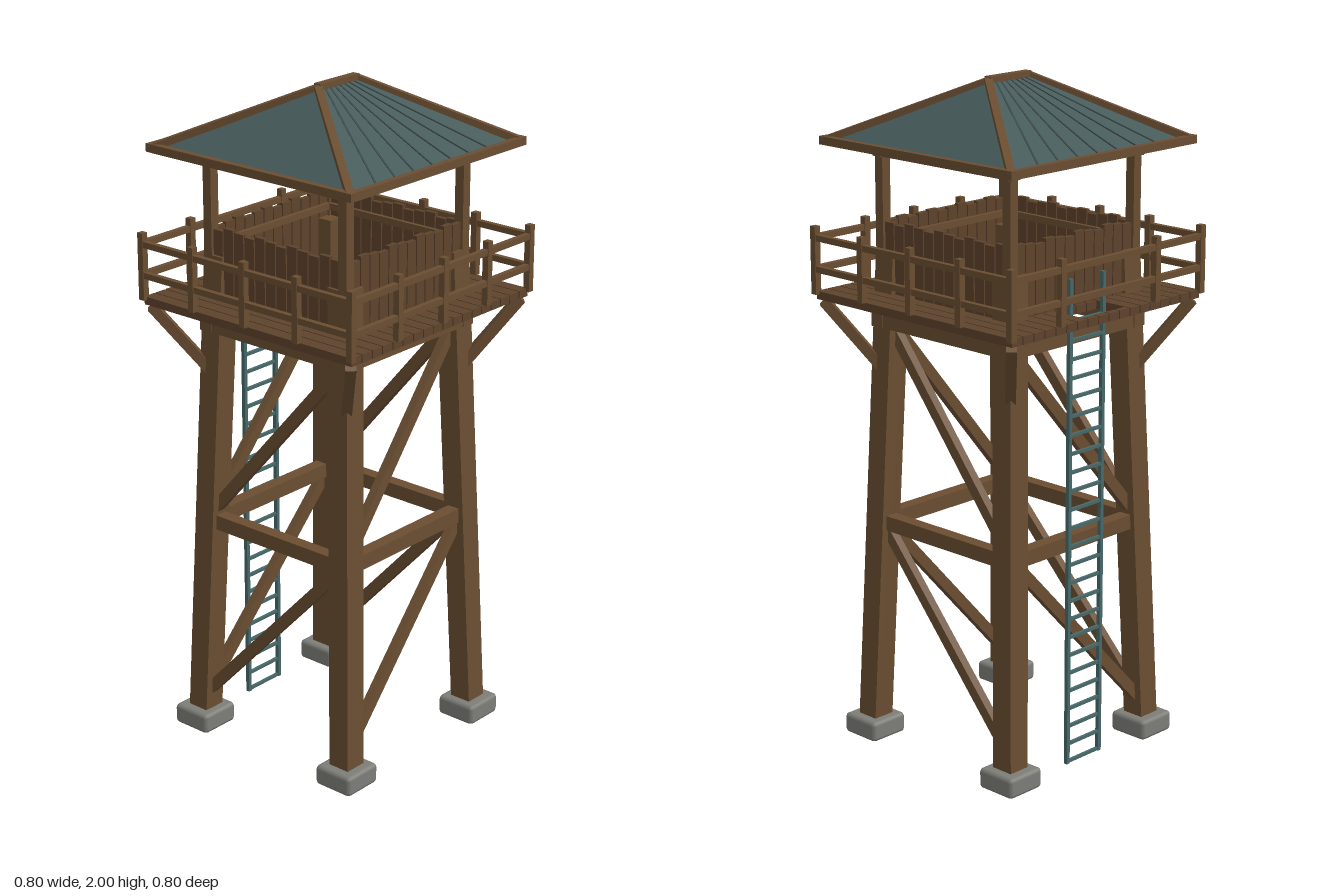
import * as THREE from 'three';
import { RoundedBoxGeometry } from 'three/addons/geometries/RoundedBoxGeometry.js';
import { ConvexGeometry } from 'three/addons/geometries/ConvexGeometry.js';

const V = (x, y, z) => new THREE.Vector3(x, y, z);
const material = (name, color) => {
  const m = new THREE.MeshStandardMaterial({ color });
  m.name = name;
  return m;
};

export function createModel() {
  const model = new THREE.Group();
  model.name = 'watchtower';
  const timber = material('timber', 0x6b4e32);
  const board = material('board', 0x5e432c);
  const roofing = material('roofing', 0x465a5a);
  const seamMetal = material('seam metal', 0x3c4a4b);
  const ladderMetal = material('ladder metal', 0x47696a);
  const concrete = material('concrete', 0x7d7d78);

  const part = (name) => {
    const g = new THREE.Group();
    g.name = name;
    model.add(g);
    return g;
  };
  const add = (parent, name, geometry, mat) => {
    const mesh = new THREE.Mesh(geometry, mat);
    mesh.name = name;
    parent.add(mesh);
    return mesh;
  };
  const box = (parent, name, mat, w, h, d, x, y, z) => {
    const mesh = add(parent, name, new THREE.BoxGeometry(w, h, d), mat);
    mesh.position.set(x, y, z);
    return mesh;
  };
  // Square-cut beam from a to b: w is its sideways width, h its depth
  const beam = (parent, name, mat, a, b, w, h) => {
    const mesh = add(parent, name, new THREE.BoxGeometry(w, h, a.distanceTo(b)), mat);
    mesh.position.copy(a).add(b).multiplyScalar(0.5);
    mesh.lookAt(b);
    return mesh;
  };
  const corners = [[1, 1], [1, -1], [-1, -1], [-1, 1]];
  const legAt = (y) => 0.285 - 0.035 * y;

  // Footings, leaning legs and corner struts under the deck
  const frame = part('frame');
  for (const [sx, sz] of corners) {
    const foot = add(frame, 'footing', new RoundedBoxGeometry(0.13, 0.062, 0.13, 1, 0.012), concrete);
    foot.position.set(sx * 0.285, 0.031, sz * 0.285);

    const leg = new THREE.BoxGeometry(0.07, 1.45, 0.07).translate(0, 0.775, 0);
    const p = leg.attributes.position;
    for (let i = 0; i < p.count; i++) {
      const o = legAt(p.getY(i));
      p.setX(i, p.getX(i) + sx * o);
      p.setZ(i, p.getZ(i) + sz * o);
    }
    leg.computeVertexNormals();
    add(frame, 'leg', leg, timber);
    beam(frame, 'cornerStrut', timber,
      V(sx * 0.255, 1.14, sz * 0.255), V(sx * 0.375, 1.345, sz * 0.375), 0.03, 0.03);
  }

  // Ring beams and one diagonal per bay on each side
  for (const s of [1, -1]) {
    const mid = legAt(0.68), top = legAt(1.29);
    box(frame, 'middleBeam', timber, mid * 2, 0.045, 0.04, 0, 0.68, s * mid);
    box(frame, 'middleBeam', timber, 0.04, 0.045, mid * 2, s * mid, 0.68, 0);
    box(frame, 'topBeam', timber, 0.56, 0.045, 0.045, 0, 1.293, s * (top + 0.015));
    box(frame, 'topBeam', timber, 0.045, 0.045, 0.56, s * (top + 0.015), 1.293, 0);
    for (const [y0, y1] of [[0.11, 0.67], [0.71, 1.27]]) {
      const a = legAt(y0), b = legAt(y1);
      beam(frame, 'diagonalBrace', timber, V(-a + 0.01, y0, s * a), V(b - 0.01, y1, s * b), 0.025, 0.034);
      beam(frame, 'diagonalBrace', timber, V(s * a, y0, -a + 0.01), V(s * b, y1, b - 0.01), 0.025, 0.034);
    }
  }

  // Deck boards running front to back, with a ladder hatch at the back
  const deck = part('deck');
  const boards = 18, pitch = 0.78 / boards;
  const deckBoard = (x, z0, z1) =>
    box(deck, 'deckBoard', board, pitch - 0.004, 0.024, z1 - z0, x, 1.362, (z0 + z1) / 2);
  for (let i = 0; i < boards; i++) {
    const x = -0.39 + pitch * (i + 0.5);
    if (Math.abs(x) < 0.09) {
      deckBoard(x, -0.39, -0.37);
      deckBoard(x, -0.265, 0.39);
    } else deckBoard(x, -0.39, 0.39);
  }

  // Railing: posts along the edge and two rails per side
  const railing = part('railing');
  for (const s of [1, -1]) {
    for (const t of [-0.195, 0, 0.195]) {
      box(railing, 'railPost', timber, 0.02, 0.19, 0.02, s * 0.39, 1.468, t);
      if (s > 0 || t !== 0) box(railing, 'railPost', timber, 0.02, 0.19, 0.02, t, 1.468, s * 0.39);
    }
    for (const y of [1.44, 1.532]) {
      box(railing, 'rail', timber, 0.78, 0.018, 0.016, 0, y, s * 0.39);
      box(railing, 'rail', timber, 0.016, 0.018, 0.78, s * 0.39, y, 0);
    }
  }
  for (const [sx, sz] of corners)
    box(railing, 'cornerRailPost', timber, 0.02, 0.2, 0.02, sx * 0.39, 1.465, sz * 0.39);

  // Cabin: corner posts, half-height board walls and wall plates
  const cabin = part('cabin');
  for (const [sx, sz] of corners)
    box(cabin, 'cabinPost', timber, 0.03, 0.43, 0.03, sx * 0.252, 1.585, sz * 0.252);
  for (let side = 0; side < 4; side++) {
    const wall = new THREE.Group();
    wall.name = 'wall';
    wall.rotation.y = side * Math.PI / 2;
    cabin.add(wall);
    for (let i = 0; i < 12; i++) {
      const h = 0.203 + 0.005 * ((i * 5 + side) % 3);
      box(wall, 'wallBoard', board, 0.036, h, 0.014, -0.22 + i * 0.04, 1.372 + h / 2, 0.252);
    }
    box(wall, 'wallRail', timber, 0.49, 0.02, 0.014, 0, 1.53, 0.24);
    box(wall, 'wallPlate', timber, 0.55, 0.032, 0.032, 0, 1.784, 0.252);
  }

  // Hipped roof with timber eaves, hips and ridge
  const roof = part('roof');
  const E = 0.368, eaveY = 1.803, R = 0.08, ridgeY = 1.988;
  const shell = corners.map(([sx, sz]) => V(sx * E, eaveY, sz * E));
  shell.push(V(-R, ridgeY, 0), V(R, ridgeY, 0));
  add(roof, 'roofShell', new ConvexGeometry(shell), roofing);
  for (const s of [1, -1]) {
    box(roof, 'eaveBoard', timber, 0.756, 0.024, 0.02, 0, 1.812, s * 0.368);
    box(roof, 'eaveBoard', timber, 0.02, 0.024, 0.756, s * 0.368, 1.812, 0);
    // Roof seams fanning from ridge to eave
    for (let i = -3; i <= 3; i++)
      beam(roof, 'roofSeam', seamMetal,
        V(i * 0.018, ridgeY, 0), V(i * 0.084, eaveY + 0.001, s * E), 0.005, 0.004);
  }
  for (const [sx, sz] of corners)
    beam(roof, 'hipBeam', timber, V(sx * R, ridgeY, 0), V(sx * 0.37, 1.811, sz * 0.37), 0.022, 0.02);
  box(roof, 'ridgeBeam', timber, 0.166, 0.024, 0.024, 0, 1.988, 0);

  // Ladder up to the hatch
  const ladder = part('ladder');
  for (const s of [1, -1])
    box(ladder, 'ladderSide', ladderMetal, 0.012, 1.46, 0.012, s * 0.068, 0.74, -0.305);
  for (let i = 0; i < 26; i++)
    box(ladder, 'rung', ladderMetal, 0.136, 0.009, 0.009, 0, 0.016 + i * 0.0555, -0.305);

  return model;
}
